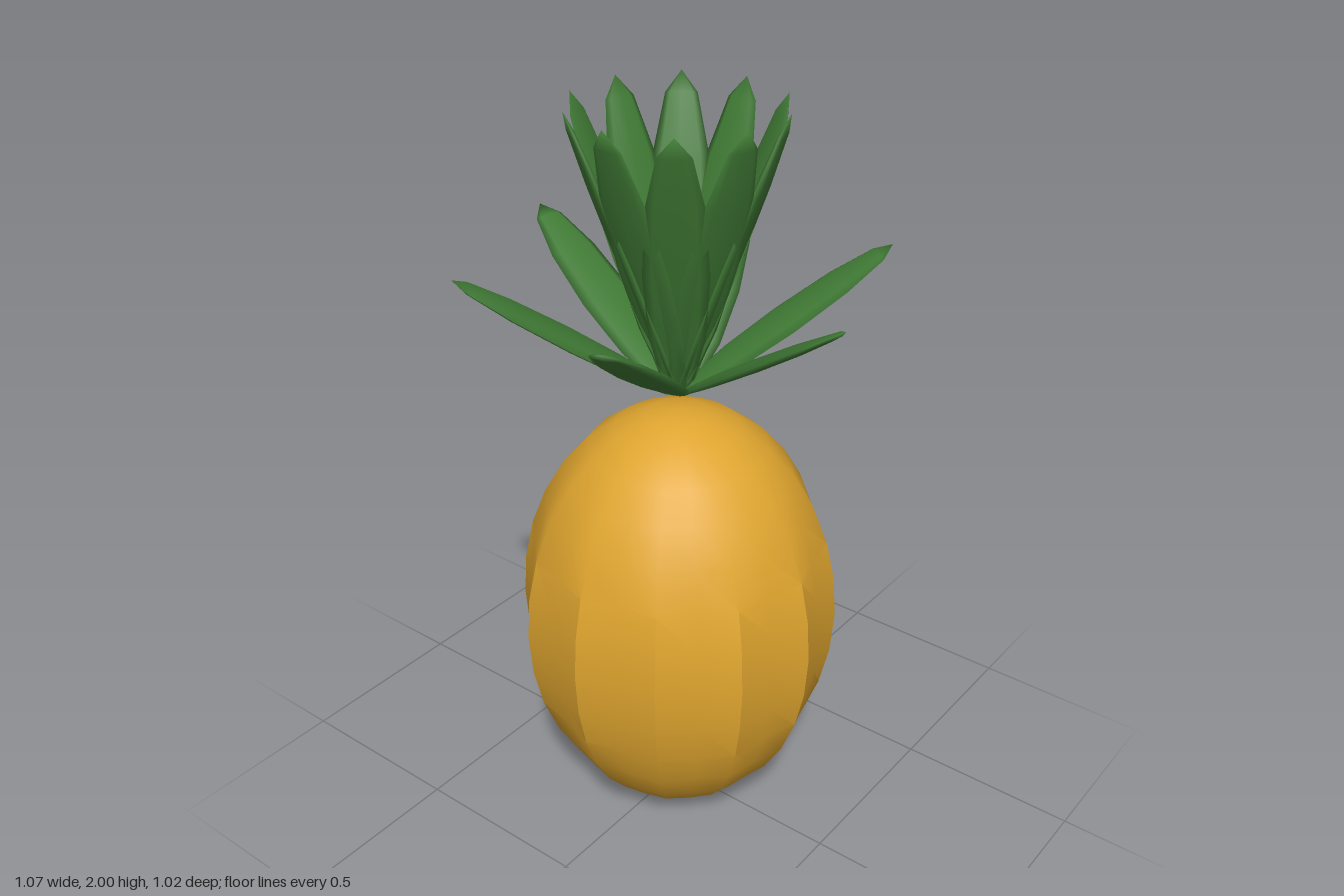
import * as THREE from 'three';
import { toCreasedNormals } from 'three/addons/utils/BufferGeometryUtils.js';

const CROWN_Y = 1.25;

// Ribbed egg: every second column is drawn in, most strongly at the waist
function bodyGeometry() {
  const columns = 24, rows = 16;
  const geo = new THREE.SphereGeometry(1, columns, rows);
  const pos = geo.attributes.position;
  for (let i = 0; i < pos.count; i++) {
    const column = i % (columns + 1);
    const sin2 = 1 - pos.getY(i) ** 2;
    const r = column % 2 ? 1 - 0.06 * sin2 : 1;
    pos.setX(i, pos.getX(i) * r);
    pos.setZ(i, pos.getZ(i) * r);
  }
  geo.scale(0.43, 0.602, 0.43);
  return toCreasedNormals(geo, THREE.MathUtils.degToRad(35.5));
}

// Thin, long ellipsoid rising from the origin and leaning outwards to +x
function leafGeometry(reach, rise) {
  const length = Math.hypot(reach, rise);
  const geo = new THREE.SphereGeometry(1, 8, 6);
  geo.scale(0.016, length / 2, 0.08);
  geo.translate(0, length / 2, 0);
  geo.rotateZ(-Math.atan2(reach, rise));
  return geo;
}

function leafRing(name, count, startDegrees, reach, rise, material) {
  const ring = new THREE.Group();
  ring.name = name + 's';
  const geo = leafGeometry(reach, rise);
  for (let i = 0; i < count; i++) {
    const leaf = new THREE.Mesh(geo, material);
    leaf.name = name;
    leaf.rotation.y = -THREE.MathUtils.degToRad(startDegrees + (360 / count) * i);
    ring.add(leaf);
  }
  ring.position.y = CROWN_Y;
  return ring;
}

export function createModel() {
  const group = new THREE.Group();
  group.name = 'pineapple';
  const skin = new THREE.MeshStandardMaterial({ color: 0xdfa52f });
  const green = new THREE.MeshStandardMaterial({ color: 0x407a35 });

  // Fruit
  const body = new THREE.Mesh(bodyGeometry(), skin);
  body.name = 'body';
  body.position.y = 0.606;
  group.add(body);

  // Crown: upright inner leaves and spreading outer leaves
  group.add(leafRing('innerLeaf', 10, 18, 0.27, 0.75, green));
  group.add(leafRing('outerLeaf', 6, 10, 0.545, 0.36, green));
  return group;
}
